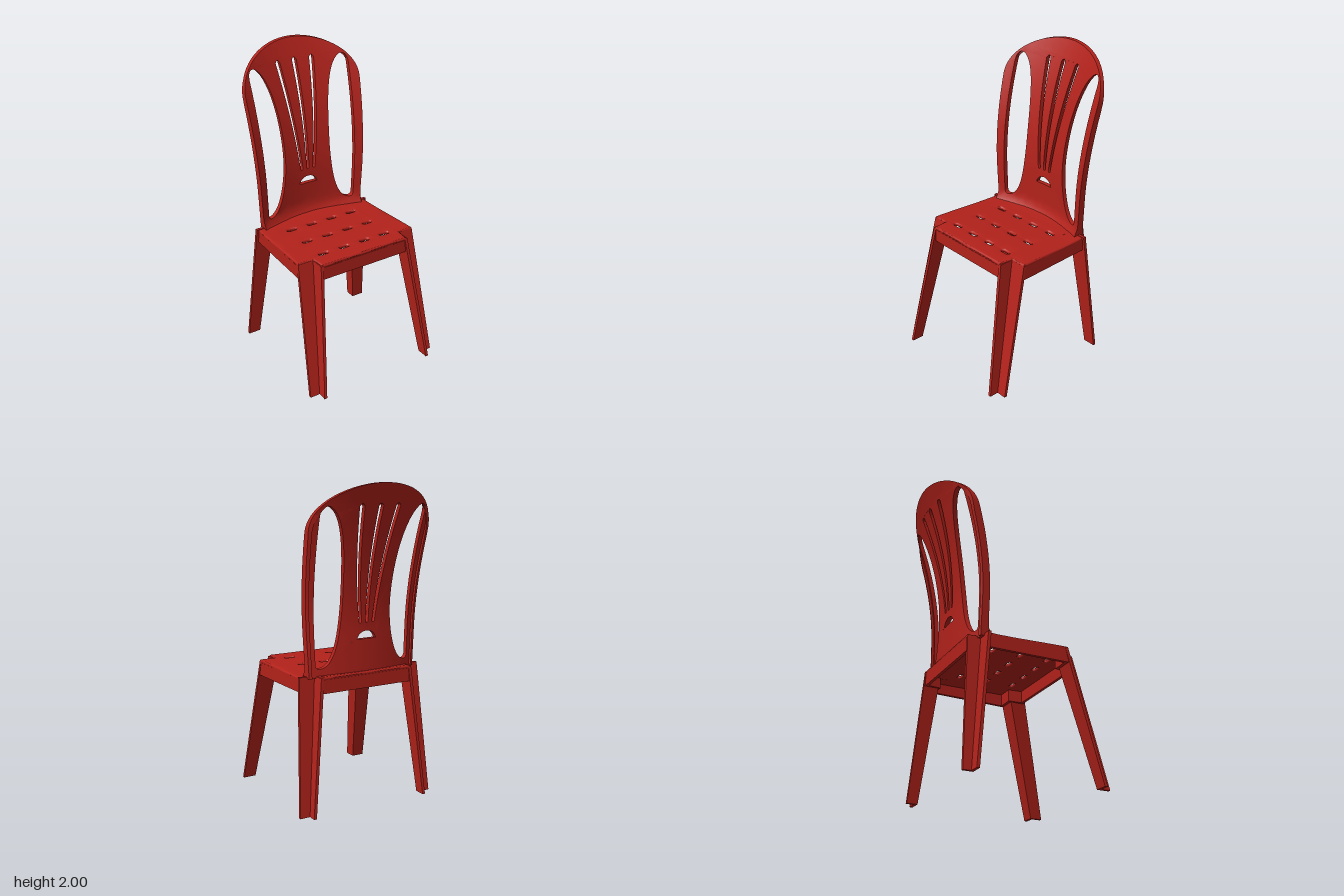
import * as THREE from 'three';
import { toCreasedNormals } from 'three/addons/utils/BufferGeometryUtils.js';

const material = new THREE.MeshStandardMaterial({ color: 0xb3221b, side: THREE.DoubleSide });

// Split long edges at their midpoints so that a sheet can be bent smoothly
function subdivide(geometry, maxEdge) {
  const pos = (geometry.index ? geometry.toNonIndexed() : geometry).attributes.position;
  const stack = [], out = [];
  for (let i = 0; i < pos.count; i += 3) {
    stack.push([0, 1, 2].map((k) => new THREE.Vector3().fromBufferAttribute(pos, i + k)));
  }
  while (stack.length) {
    const t = stack.pop();
    const len = [0, 1, 2].map((k) => t[k].distanceTo(t[(k + 1) % 3]));
    const longest = Math.max(...len);
    if (longest <= maxEdge) {
      for (const p of t) out.push(p.x, p.y, p.z);
      continue;
    }
    const k = len.indexOf(longest);
    const a = t[k], b = t[(k + 1) % 3], c = t[(k + 2) % 3];
    const m = a.clone().add(b).multiplyScalar(0.5);
    stack.push([a, m, c], [m, b, c]);
  }
  const result = new THREE.BufferGeometry();
  result.setAttribute('position', new THREE.Float32BufferAttribute(out, 3));
  return result;
}

// Move every vertex by a rule, then rebuild the normals
function deform(geometry, rule) {
  const pos = geometry.attributes.position, v = new THREE.Vector3();
  for (let i = 0; i < pos.count; i++) {
    rule(v.fromBufferAttribute(pos, i));
    pos.setXYZ(i, v.x, v.y, v.z);
  }
  return toCreasedNormals(geometry, 0.7);
}

function add(group, name, geometry) {
  const mesh = new THREE.Mesh(geometry, material);
  mesh.name = name;
  group.add(mesh);
}

const path = (points) => new THREE.Path(points.map(([x, y]) => new THREE.Vector2(x, y)));

// Backrest curve: leans back with height, wraps forward at the sides, flares into the seat
function bendBack(v) {
  const lean = 0.249 * Math.max(0, v.y - 1.1) ** 1.86;
  const flare = v.z > 0.015 ? 0.03 * Math.max(0, (0.92 - v.y) / 0.08) ** 2 : 0;
  v.z += -0.335 - lean + 0.45 * v.x * v.x + flare;
}

function backOutline() {
  const s = new THREE.Shape();
  s.moveTo(0.375, 0.84);
  s.lineTo(0.42, 1.72);
  s.bezierCurveTo(0.425, 1.9, 0.2, 2, 0, 2);
  s.bezierCurveTo(-0.2, 2, -0.425, 1.9, -0.42, 1.72);
  s.lineTo(-0.375, 0.84);
  return s;
}

function backPanel() {
  const shape = backOutline();
  for (const s of [-1, 1]) {
    // large side opening
    const h = new THREE.Path();
    h.moveTo(s * 0.33, 0.93);
    h.lineTo(s * 0.363, 1.81);
    h.bezierCurveTo(s * 0.363, 1.88, s * 0.32, 1.88, s * 0.29, 1.85);
    h.bezierCurveTo(s * 0.2, 1.77, s * 0.17, 1.5, s * 0.17, 1.28);
    h.bezierCurveTo(s * 0.175, 1.08, s * 0.215, 0.9, s * 0.305, 0.895);
    h.quadraticCurveTo(s * 0.33, 0.895, s * 0.33, 0.93);
    shape.holes.push(h);
  }
  // fanned slots
  for (const s of [-1, 0, 1]) {
    const b = s * 0.046, t = s * 0.124;
    const h = new THREE.Path();
    h.moveTo(b - 0.009, 1.168);
    h.quadraticCurveTo(b, 1.15, b + 0.009, 1.168);
    h.lineTo(t + 0.016, 1.865);
    h.quadraticCurveTo(t, 1.895, t - 0.016, 1.865);
    h.closePath();
    shape.holes.push(h);
  }
  // half-round hand hole
  const hand = new THREE.Path();
  hand.moveTo(-0.067, 1.06);
  hand.lineTo(0.067, 1.06);
  hand.bezierCurveTo(0.05, 1.127, -0.05, 1.127, -0.067, 1.06);
  shape.holes.push(hand);
  const g = new THREE.ExtrudeGeometry(shape, { depth: 0.03, bevelEnabled: false, curveSegments: 20 });
  return deform(subdivide(g, 0.06), bendBack);
}

// Rib behind the outer edge, fading out towards the top
function backRim() {
  const outer = backOutline().getPoints(20);
  const inner = outer.map((p) => new THREE.Vector2(p.x * 0.95, 0.84 + (p.y - 0.84) * 0.985)).reverse();
  const shape = new THREE.Shape([...outer, ...inner]);
  const g = new THREE.ExtrudeGeometry(shape, { depth: 1, bevelEnabled: false });
  return deform(subdivide(g.scale(1, 1, 0.03), 0.06), (v) => {
    const fade = 1 - THREE.MathUtils.smoothstep(v.y, 1.65, 1.95);
    v.z = 0.012 - (0.03 - v.z) * fade;
    bendBack(v);
  });
}

// Seat plan with a notch at each corner, as (x, -z)
function seatPlan(inset) {
  const i = inset;
  const half = [
    [0.315 - i, 0.367 - i], [0.325 - i, 0.275 - i], [0.43 - i, 0.275 - i],
    [0.415 - i, -0.265 + i], [0.325 - i, -0.265 + i], [0.315 - i, -0.348 + i],
  ].map(([x, z]) => [x, -z]);
  return [...half, ...half.map(([x, y]) => [-x, y]).reverse()];
}

function seatPlate() {
  const shape = new THREE.Shape(path(seatPlan(0)).getPoints());
  for (const z of [-0.14, 0.052, 0.243]) {
    for (const x of [-0.23, -0.077, 0.077, 0.23]) {
      const h = new THREE.Path();
      h.absarc(x + 0.02, -z, 0.013, -Math.PI / 2, Math.PI / 2);
      h.absarc(x - 0.02, -z, 0.013, Math.PI / 2, Math.PI * 1.5);
      h.closePath();
      shape.holes.push(h);
    }
  }
  const g = new THREE.ExtrudeGeometry(shape, {
    depth: 0.005, bevelThickness: 0.01, bevelSize: 0.01, bevelOffset: -0.01, bevelSegments: 3, curveSegments: 5,
  });
  g.rotateX(-Math.PI / 2).translate(0, 0.845, 0);
  // shallow dip towards the back
  return deform(subdivide(g, 0.09), (v) => {
    v.y -= 0.012 * (1 - THREE.MathUtils.smoothstep(v.z, -0.2, 0.3)) * THREE.MathUtils.smoothstep(v.z, -0.34, -0.24);
  });
}

function seatApron() {
  const shape = new THREE.Shape(path(seatPlan(0)).getPoints());
  shape.holes.push(path(seatPlan(0.02)));
  const g = new THREE.ExtrudeGeometry(shape, { depth: 0.085, bevelEnabled: false });
  return g.rotateX(-Math.PI / 2).translate(0, 0.755, 0);
}

// Box from floor to seat whose top and foot are different [x0, x1, z0, z1] rectangles
function taperedFlange(top, foot, side) {
  return deform(new THREE.BoxGeometry(1, 1, 1).toNonIndexed(), (v) => {
    const r = v.y > 0 ? top : foot;
    const outer = v.x * side > 0;
    v.set(side * (outer ? r[1] : r[0]), v.y > 0 ? 0.852 : 0, v.z > 0 ? r[3] : r[2]);
  });
}

const legs = {
  front: [
    [[0.305, 0.43, 0.255, 0.275], [0.393, 0.477, 0.458, 0.477]],
    [[0.305, 0.325, 0.255, 0.367], [0.393, 0.412, 0.458, 0.537]],
  ],
  back: [
    [[0.305, 0.428, -0.265, -0.245], [0.393, 0.477, -0.357, -0.338]],
    [[0.305, 0.325, -0.35, -0.245], [0.393, 0.412, -0.408, -0.338]],
  ],
};

export function createModel() {
  const chair = new THREE.Group();
  chair.name = 'chair';

  add(chair, 'backPanel', backPanel());
  add(chair, 'backRim', backRim());
  add(chair, 'seat', seatPlate());
  add(chair, 'seatApron', seatApron());

  // L-section legs, open towards the outside
  for (const [end, flanges] of Object.entries(legs)) {
    for (const side of [1, -1]) {
      const leg = new THREE.Group();
      leg.name = end + (side > 0 ? 'LeftLeg' : 'RightLeg');
      flanges.forEach(([top, foot], i) => add(leg, i ? 'sideFlange' : 'crossFlange', taperedFlange(top, foot, side)));
      chair.add(leg);
    }
  }
  return chair;
}
